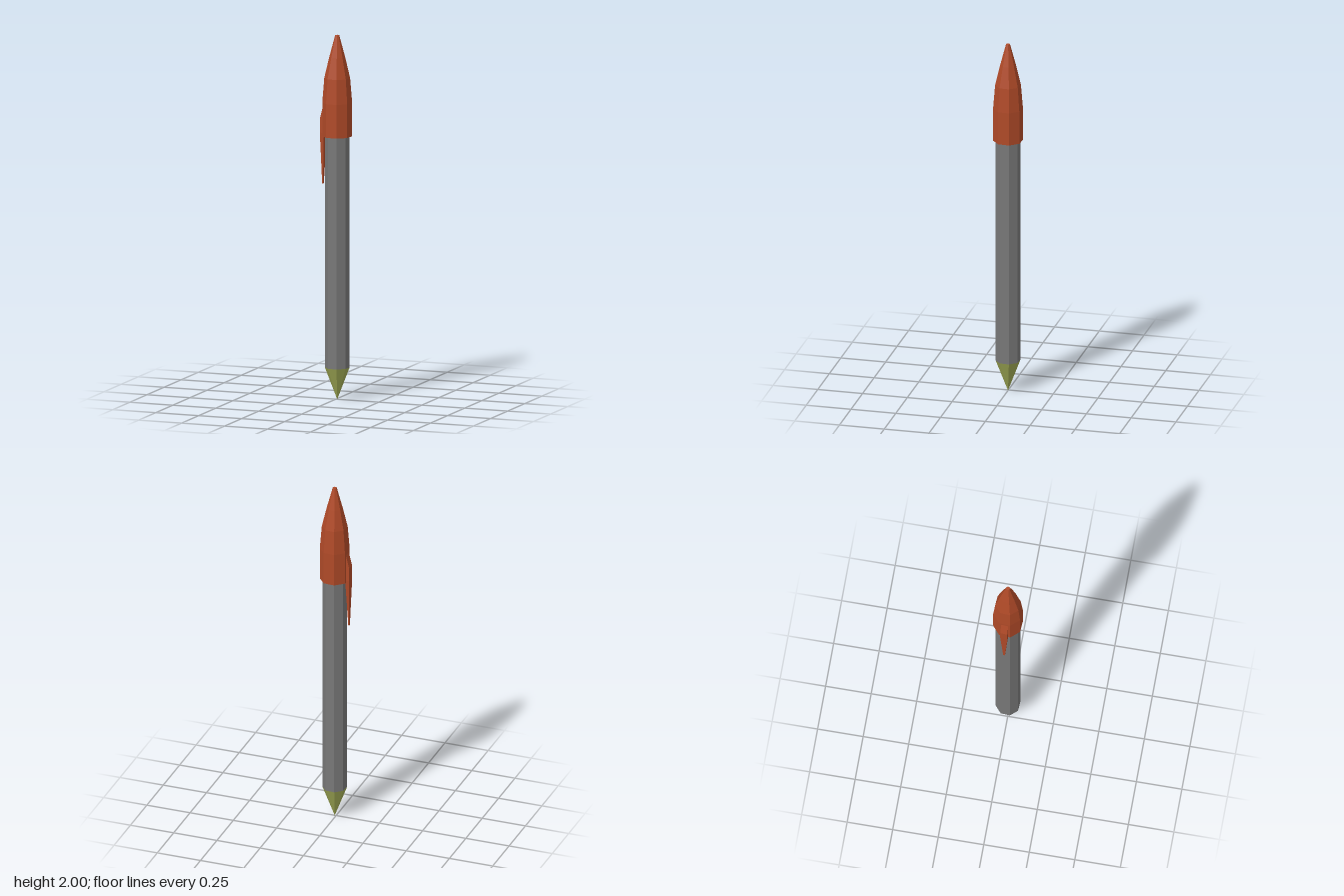
import * as THREE from 'three';

const SIDES = 8;

// Turns [radius, y] points into a closed-looking eight-sided part with a flat facing each side
function octagonal(name, profile, material) {
  const points = profile.map(([r, y]) => new THREE.Vector2(r, y));
  const geometry = new THREE.LatheGeometry(points, SIDES, Math.PI / SIDES).toNonIndexed();
  geometry.computeVertexNormals();
  const mesh = new THREE.Mesh(geometry, material);
  mesh.name = name;
  return mesh;
}

// Skins rectangular cross-sections [y, innerX, outerX, halfWidth], listed bottom to top
function clipGeometry(sections) {
  const positions = [];
  const rings = sections.map(([y, inner, outer, w]) => [
    [inner, y, w], [inner, y, -w], [outer, y, -w], [outer, y, w],
  ]);
  const quad = (a, b, c, d) => positions.push(...a, ...b, ...c, ...a, ...c, ...d);
  for (let i = 0; i < rings.length - 1; i++) {
    for (let k = 0; k < 4; k++) {
      const n = (k + 1) % 4;
      quad(rings[i][k], rings[i][n], rings[i + 1][n], rings[i + 1][k]);
    }
  }
  const top = rings[rings.length - 1];
  quad(rings[0][3], rings[0][2], rings[0][1], rings[0][0]);
  quad(top[0], top[1], top[2], top[3]);
  const geometry = new THREE.BufferGeometry();
  geometry.setAttribute('position', new THREE.Float32BufferAttribute(positions, 3));
  geometry.computeVertexNormals();
  return geometry;
}

export function createModel() {
  const material = (name, color) => {
    const m = new THREE.MeshStandardMaterial({ color, flatShading: true });
    m.name = name;
    return m;
  };
  const red = material('rustRed', 0xb04a28);
  const grey = material('grey', 0x787878);
  const olive = material('oliveGreen', 0xa0aa55);

  const pen = new THREE.Group();
  pen.name = 'pen';

  // Writing point, barrel and pointed cap share one axis
  pen.add(octagonal('tip', [[0, 0], [0.067, 0.175]], olive));
  pen.add(octagonal('barrel', [[0.067, 0.175], [0.067, 1.46]], grey));
  pen.add(octagonal('cap', [
    [0.06, 1.445], [0.081, 1.445], [0.081, 1.63], [0.07, 1.765],
    [0.043, 1.88], [0.011, 2], [0, 2],
  ], red));

  // Pocket clip, tapering down beside the barrel
  const clip = new THREE.Mesh(clipGeometry([
    [1.18, -0.083, -0.088, 0.005],
    [1.46, -0.071, -0.095, 0.0195],
    [1.535, -0.071, -0.095, 0.0195],
    [1.62, -0.068, -0.073, 0.0195],
  ]), red);
  clip.name = 'clip';
  pen.add(clip);

  // The pen is slightly turned, and offset so that cap and clip are centred together
  pen.rotation.y = THREE.MathUtils.degToRad(-4.1);
  pen.position.x = 0.008;

  const model = new THREE.Group();
  model.add(pen);
  return model;
}
